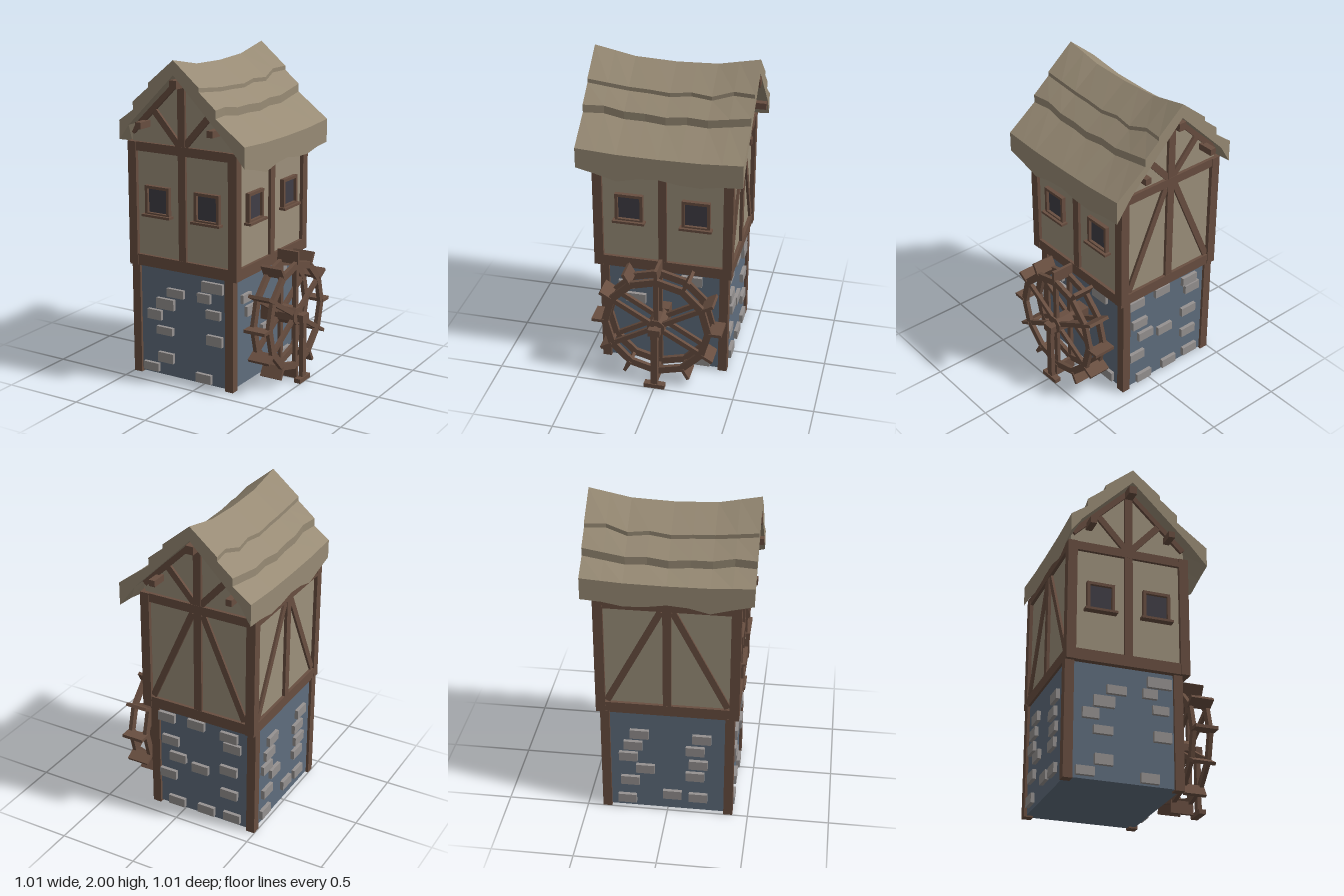
import * as THREE from 'three';

const mat = (name, color) => {
  const m = new THREE.MeshStandardMaterial({ color });
  m.name = name;
  return m;
};

export function createModel() {
  const wood = mat('wood', 0x684e40), plaster = mat('plaster', 0x9c907b), thatch = mat('thatch', 0x988b75);
  const slate = mat('blue wall', 0x5f6d7d), stone = mat('stone', 0x959190), glass = mat('dark glass', 0x403e46);
  const model = new THREE.Group();
  model.name = 'watermill';

  const add = (parent, name, geo, material) => {
    const m = new THREE.Mesh(geo, material);
    m.name = name;
    parent.add(m);
    return m;
  };
  const box = (parent, name, material, w, h, d, x, y, z) => {
    const m = add(parent, name, new THREE.BoxGeometry(w, h, d), material);
    m.position.set(x, y, z);
    return m;
  };
  // Flat timber between two points of a wall plane
  const brace = (parent, name, x1, y1, x2, y2, w, d, z) => {
    const m = box(parent, name, wood, Math.hypot(x2 - x1, y2 - y1), w, d, (x1 + x2) / 2, (y1 + y2) / 2, z);
    m.rotation.z = Math.atan2(y2 - y1, x2 - x1);
  };
  const group = (parent, name, x = 0, angle = 0) => {
    const g = new THREE.Group();
    g.name = name;
    g.position.x = x;
    g.rotation.y = angle;
    parent.add(g);
    return g;
  };

  // Lower storey: wall block, corner posts, raised stones
  const lower = group(model, 'lowerStorey', -0.137);
  box(lower, 'lowerWall', slate, 0.69, 0.71, 0.776, 0, 0.365, 0);
  for (const sx of [-1, 1]) for (const sz of [-1, 1])
    box(lower, 'lowerPost', wood, 0.056, 0.72, 0.056, sx * 0.334, 0.36, sz * 0.377);
  const stones = [
    // angle, wall distance, [across, up, width, height]
    ['frontStones', 0, 0.396, [[0.217, 0.64, 0.15, 0.065], [-0.048, 0.56, 0.12, 0.053], [0.157, 0.565, 0.09, 0.058],
      [-0.123, 0.48, 0.127, 0.068], [0.222, 0.47, 0.1, 0.053], [-0.203, 0.4, 0.1, 0.063], [-0.128, 0.305, 0.116, 0.05],
      [0.232, 0.307, 0.11, 0.063], [-0.123, 0.13, 0.11, 0.063], [-0.233, 0.053, 0.11, 0.053], [0.153, 0.05, 0.11, 0.058]]],
    ['rightStones', Math.PI / 2, 0.353, [[-0.18, 0.47, 0.127, 0.063], [-0.24, 0.56, 0.1, 0.053], [0.175, 0.64, 0.13, 0.063],
      [0, 0.307, 0.12, 0.05], [0.24, 0.055, 0.115, 0.065]]],
    ['backStones', Math.PI, 0.396, [[-0.253, 0.65], [-0.047, 0.655], [0.18, 0.635], [0.203, 0.565], [-0.227, 0.49], [-0.177, 0.38],
      [0.18, 0.395], [-0.02, 0.345], [-0.247, 0.24], [0.183, 0.225], [-0.187, 0.05], [0.023, 0.055], [0.203, 0.06]]],
    ['leftStones', -Math.PI / 2, 0.353, [[-0.17, 0.56], [0.21, 0.55], [-0.21, 0.475], [0.17, 0.46], [-0.24, 0.39], [0.19, 0.36],
      [-0.135, 0.305], [0.17, 0.27], [-0.23, 0.21], [0.03, 0.12], [-0.25, 0.07], [0.19, 0.11]]],
  ];
  for (const [name, angle, dist, list] of stones) {
    const g = group(lower, name, 0, angle);
    for (const [u, v, w = 0.115, h = 0.06] of list) box(g, 'stone', stone, w, h, 0.03, u, v, dist);
  }

  // Upper storey: plaster body with gable ends
  const upper = group(model, 'upperStorey', -0.117);
  const body = new THREE.Shape([[-0.36, 0.72], [0.36, 0.72], [0.36, 1.535], [0, 1.89], [-0.36, 1.535]]
    .map(([x, y]) => new THREE.Vector2(x, y)));
  const bodyGeo = new THREE.ExtrudeGeometry(body, { depth: 0.81, bevelEnabled: false }).translate(0, 0, -0.405);
  add(upper, 'plasterWalls', bodyGeo, plaster);
  for (const sx of [-1, 1]) for (const sz of [-1, 1])
    box(upper, 'upperPost', wood, 0.058, 0.77, 0.058, sx * 0.353, 1.095, sz * 0.401);

  const addWindow = (wall, u, face) => {
    const w = group(wall, 'window', u);
    box(w, 'windowPane', glass, 0.145, 0.16, 0.008, 0, 1.128, face + 0.004);
    for (const s of [-1, 1]) {
      box(w, 'windowJamb', wood, 0.018, 0.185, 0.03, s * 0.077, 1.128, face + 0.012);
      box(w, 'windowRail', wood, 0.14, 0.018, 0.03, 0, 1.128 + s * 0.083, face + 0.012);
    }
    box(w, 'windowSill', wood, 0.2, 0.015, 0.05, 0, 1.037, face + 0.02);
  };
  // Each wall: name, angle, half width, plaster distance, window offset (0 = braced instead)
  const walls = [['frontWall', 0, 0.382, 0.405, 0.175], ['rightWall', Math.PI / 2, 0.43, 0.36, 0.206],
    ['backWall', Math.PI, 0.382, 0.405, 0], ['leftWall', -Math.PI / 2, 0.43, 0.36, 0]];
  walls.forEach(([name, angle, half, face, win], i) => {
    const g = group(upper, name, 0, angle), len = 2 * half - 0.1;
    box(g, 'sillBeam', wood, len, 0.07, 0.06, 0, 0.745, face - 0.01);
    box(g, 'topBeam', wood, len, 0.055, 0.06, 0, 1.4525, face - 0.01);
    box(g, 'middlePost', wood, 0.05, 0.66, 0.05, 0, 1.1, face - 0.006);
    for (const s of [-1, 1]) {
      if (win) addWindow(g, s * win, face);
      else brace(g, 'wallBrace', s * 0.035, 1.42, s * (half - 0.07), 0.79, 0.04, 0.04, face - 0.005);
      if (i % 2 === 0) {
        brace(g, 'rafter', s * 0.005, 1.882, s * 0.352, 1.537, 0.035, 0.04, face);
        brace(g, 'gableBrace', s * 0.02, 1.485, s * 0.195, 1.68, 0.04, 0.04, face - 0.003);
      }
    }
    if (i % 2 === 0) box(g, 'kingPost', wood, 0.05, 0.39, 0.05, 0, 1.67, face - 0.006);
  });
  box(upper, 'ridgeBeam', wood, 0.05, 0.05, 1.01, 0, 1.858, 0);
  for (const s of [-1, 1]) box(upper, 'purlin', wood, 0.04, 0.04, 1.01, s * 0.25, 1.595, 0);

  // Sagging stepped thatch: closed cross-sections lofted along z, back to front
  const sag = [0, 0.025, 0.05, 0.055, 0.06, 0.055, 0.05, 0.025, 0];
  const rag1 = [0.003, -0.015, 0.006, -0.008, 0.003, -0.002, -0.003, 0, 0.003];
  const rag2 = [-0.008, -0.002, 0.004, -0.003, 0.007, 0, 0.001, -0.008, 0.007];
  const ragEave = [0, -0.008, -0.03, -0.025, -0.005, -0.015, -0.045, -0.01, 0.02];
  const half = (k, s) => {
    const [eave, eaveTop, eaveLow, knee] = s > 0 ? [0.477, 1.545, 1.4, 0.37] : [0.388, 1.615, 1.48, 0.32];
    const q = sag[k], d1 = 0.172 + rag1[k], d2 = 0.28 + rag2[k];
    const drop1 = rag1[k] * 0.84, drop2 = rag2[k] * 0.84;
    return [[d1, 1.857 - 0.7 * q - drop1], [d1, 1.832 - 0.7 * q - drop1], [d2, 1.742 - 0.5 * q - drop2],
      [d2, 1.693 - 0.5 * q - drop2], [eave, eaveTop - 0.3 * q], [eave, eaveLow + ragEave[k]], [knee, 1.913 - knee]]
      .map(([d, y]) => [s * d, y]);
  };
  const rings = sag.map((q, k) => [[0, 2 - q], ...half(k, 1), [0, 1.913 - q * 0.5], ...half(k, -1).reverse()]);
  const n = rings[0].length, pos = [], idx = [];
  rings.forEach((ring, k) => ring.forEach(([x, y]) => pos.push(x, y, -0.5 + k / 8)));
  for (let k = 0; k < 8; k++) for (let i = 0; i < n; i++) {
    const a = k * n + i, b = k * n + (i + 1) % n;
    idx.push(a, a + n, b, b, a + n, b + n);
  }
  for (const k of [0, 8]) {
    const pts = rings[k].map(([x, y]) => new THREE.Vector2(x, y));
    for (const [a, b, c] of THREE.ShapeUtils.triangulateShape(pts, [])) {
      // Turn every end triangle to face outward
      const ccw = (pts[b].x - pts[a].x) * (pts[c].y - pts[a].y) - (pts[b].y - pts[a].y) * (pts[c].x - pts[a].x) > 0;
      const t = ccw === (k === 8) ? [a, b, c] : [a, c, b];
      idx.push(...t.map(v => v + k * n));
    }
  }
  const indexed = new THREE.BufferGeometry();
  indexed.setAttribute('position', new THREE.Float32BufferAttribute(pos, 3));
  indexed.setIndex(idx);
  const roofGeo = indexed.toNonIndexed();
  roofGeo.computeVertexNormals();
  add(upper, 'thatchedRoof', roofGeo, thatch);

  // Water wheel, turning about the x axis
  const wheel = group(model, 'waterWheel');
  wheel.position.y = 0.413;
  const polygon = r => Array.from({ length: 12 }, (_, i) =>
    new THREE.Vector2(r * Math.cos(i * Math.PI / 6), r * Math.sin(i * Math.PI / 6)));
  const rimShape = new THREE.Shape(polygon(0.347));
  rimShape.holes.push(new THREE.Path(polygon(0.302).reverse()));
  const rimGeo = new THREE.ExtrudeGeometry(rimShape, { depth: 0.025, bevelEnabled: false }).rotateY(Math.PI / 2);
  for (const x of [0.308, 0.414]) {
    add(wheel, 'wheelRim', rimGeo, wood).position.x = x;
    for (let i = 0; i < 3; i++)
      box(wheel, 'wheelSpokes', wood, 0.022, 0.63, 0.03, x + 0.0125, 0, 0).rotation.x = i * Math.PI / 3;
  }
  for (let i = 0; i < 12; i++) {
    const a = i * Math.PI / 6;
    box(wheel, 'wheelPaddle', wood, 0.143, 0.08, 0.02, 0.372, 0.368 * Math.cos(a), 0.368 * Math.sin(a)).rotation.x = a;
  }
  const shaft = (name, r, x1, x2) => {
    const geo = new THREE.CylinderGeometry(r, r, x2 - x1, 8).rotateX(0).rotateY(Math.PI / 8).rotateZ(Math.PI / 2).toNonIndexed();
    geo.computeVertexNormals();
    add(wheel, name, geo, wood).position.x = (x1 + x2) / 2;
  };
  shaft('wheelHub', 0.058, 0.3, 0.447);
  shaft('wheelAxle', 0.02, 0.2, 0.495);
  box(wheel, 'wallBearing', wood, 0.1, 0.095, 0.095, 0.24, 0, 0);

  // Outer stand carrying the axle
  const stand = group(model, 'axleStand');
  box(stand, 'standPost', wood, 0.028, 0.42, 0.042, 0.48, 0.21, 0);
  box(stand, 'standFoot', wood, 0.043, 0.028, 0.13, 0.479, 0.014, 0);
  box(stand, 'standCap', wood, 0.04, 0.045, 0.075, 0.48, 0.41, 0);

  return model;
}
